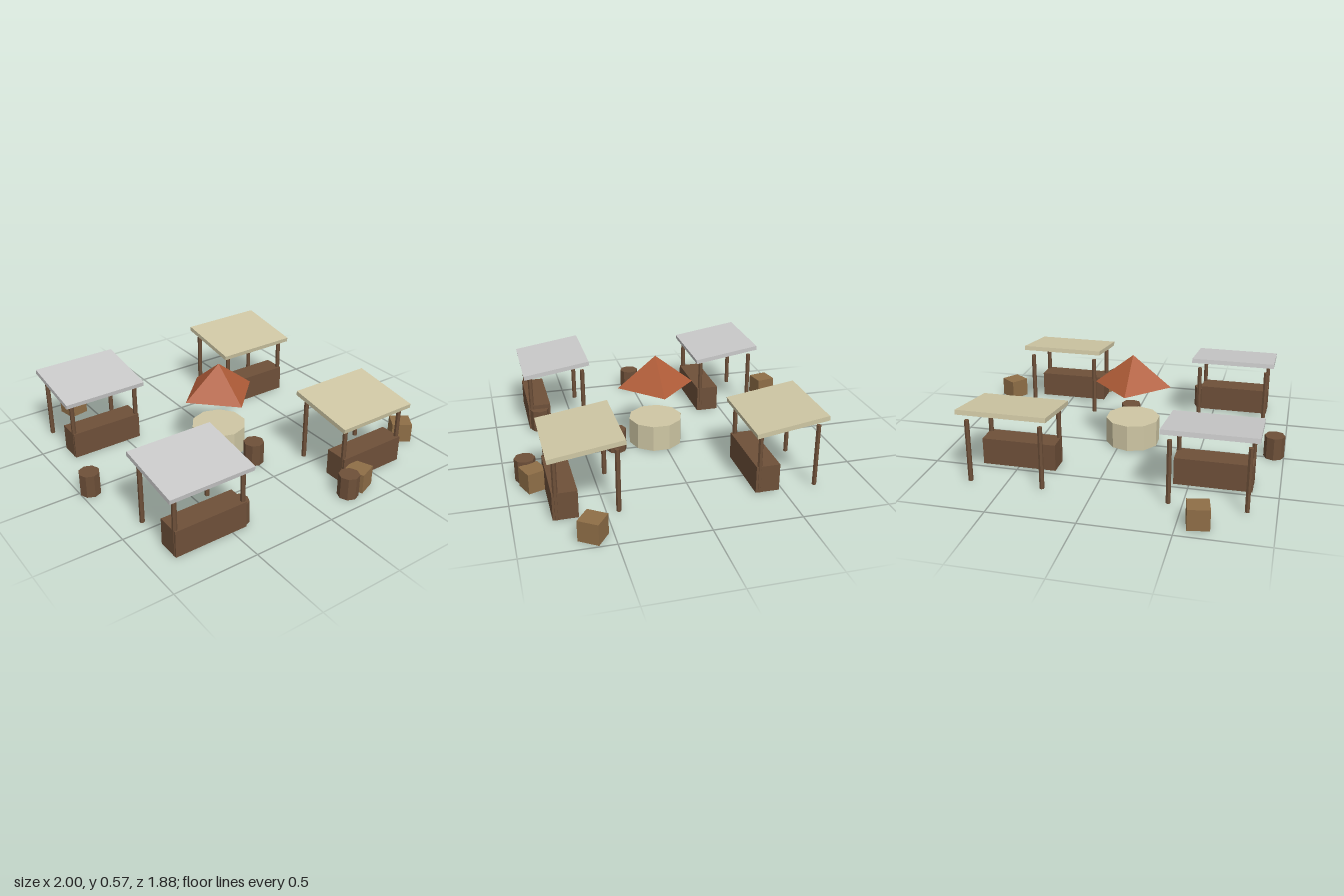
import * as THREE from 'three';

const mat = (name, color) => {
  const m = new THREE.MeshStandardMaterial({ color, flatShading: true });
  m.name = name;
  return m;
};

export function createModel() {
  const model = new THREE.Group();
  model.name = 'marketSquare';

  const wood = mat('dark wood', 0x6e5039);
  const crateWood = mat('crate wood', 0x8f6e47);
  const tile = mat('terracotta', 0xb05c38);
  const cream = mat('cream', 0xcfc7a4);
  const grey = mat('light grey', 0xcacaca);

  const add = (parent, name, geometry, material, x, y, z) => {
    const mesh = new THREE.Mesh(geometry, material);
    mesh.name = name;
    mesh.position.set(x, y, z);
    parent.add(mesh);
    return mesh;
  };

  // Market stalls: four posts, a counter at the front and a sloping roof
  const postGeo = new THREE.CylinderGeometry(0.014, 0.014, 0.37, 6);
  const counterGeo = new THREE.BoxGeometry(0.44, 0.16, 0.138);
  const roofGeo = new THREE.BoxGeometry(0.514, 0.027, 0.418);

  const addStall = (x, z, roofMaterial) => {
    const stall = new THREE.Group();
    stall.name = 'stall';
    stall.position.set(x, 0.006, z);
    for (const sx of [-1, 1]) {
      for (const sz of [-1, 1]) add(stall, 'post', postGeo, wood, sx * 0.21, 0.185, sz * 0.167);
    }
    add(stall, 'counter', counterGeo, wood, 0, 0.08, 0.119);
    add(stall, 'stallRoof', roofGeo, roofMaterial, 0, 0.397, 0).rotation.x = 0.15;
    model.add(stall);
  };
  for (const z of [-0.526, 0.601]) {
    addStall(-0.634, z, grey);
    addStall(0.493, z, cream);
  }

  // Central well: ten-sided drum under a pyramid roof
  add(model, 'wellDrum', new THREE.CylinderGeometry(0.165, 0.165, 0.161, 10), cream, -0.07, 0.0865, 0.04);
  add(model, 'wellRoof', new THREE.ConeGeometry(0.233, 0.188, 4), tile, -0.069, 0.473, 0.039);

  // Barrels: x, ground height, z
  const barrelGeo = new THREE.CylinderGeometry(0.061, 0.061, 0.137, 8);
  const barrels = [[-0.94, 0, 0.02], [0, 0.005, 0.303], [0.228, 0.003, 0.88], [-0.42, 0.003, 0.722]];
  for (const [x, y, z] of barrels) add(model, 'barrel', barrelGeo, wood, x, y + 0.0685, z);

  // Crates: x, ground height, z, turn
  const crateGeo = new THREE.BoxGeometry(0.12, 0.12, 0.12);
  const crates = [[-0.609, 0, -0.873, 0.19], [0.914, 0.004, 0.61, -0.61], [0.333, 0.004, 0.846, 0.37]];
  for (const [x, y, z, turn] of crates) {
    add(model, 'crate', crateGeo, crateWood, x, y + 0.06, z).rotation.y = turn;
  }

  return model;
}
